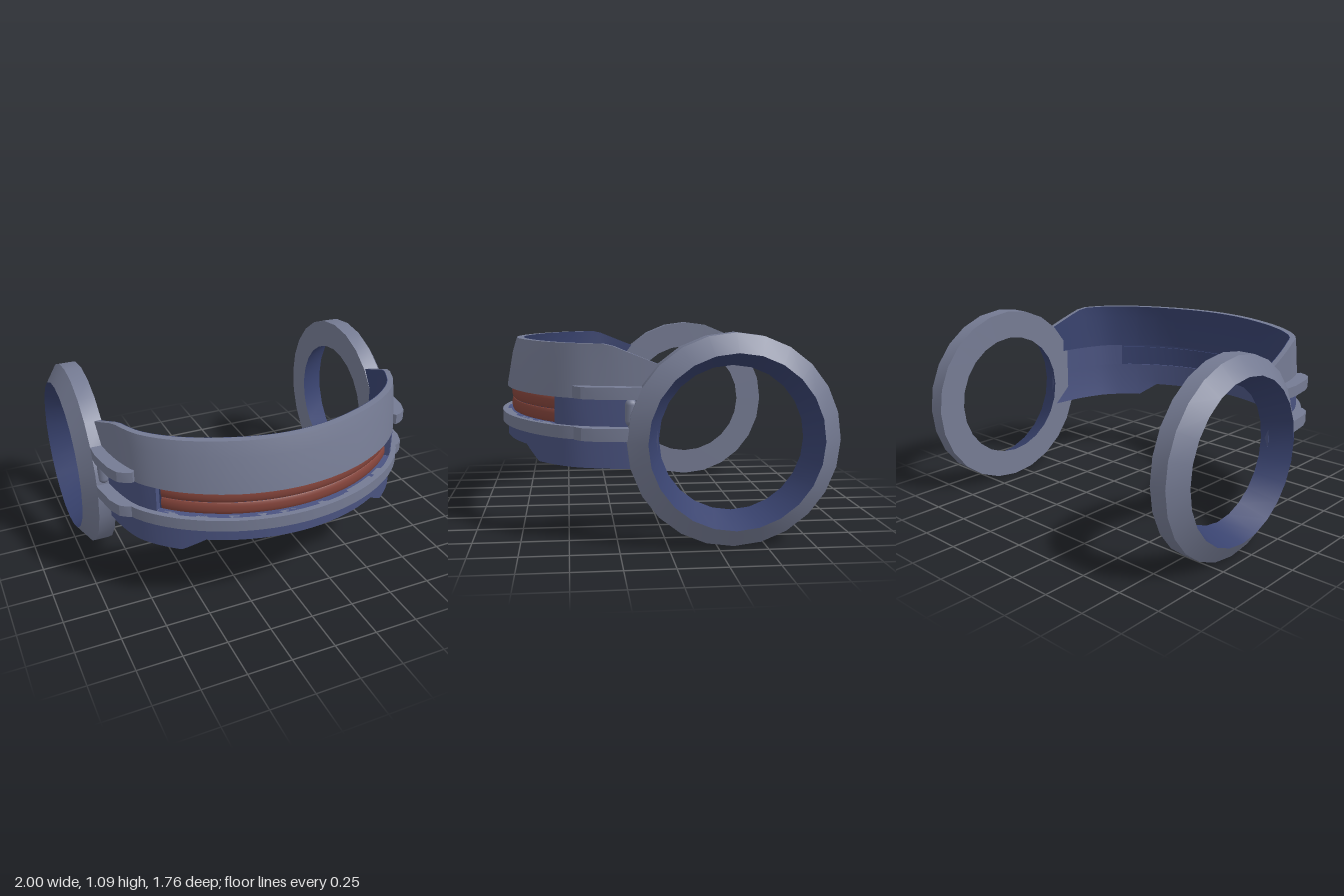
import * as THREE from 'three';
import { toCreasedNormals } from 'three/addons/utils/BufferGeometryUtils.js';

const paint = color => new THREE.MeshStandardMaterial({ color });
const steel = paint(0x757b93), blue = paint(0x4a5380), navy = paint(0x38426e), red = paint(0x84443b);
const { clamp, lerp } = THREE.MathUtils;
const ramp = (v, a, b) => clamp((v - a) / (b - a), 0, 1);

// Plan line of the outer face of the band: an arc that turns back along the sides
const half = [[0.2, 0.83], [0.4, 0.77], [0.6, 0.66], [0.72, 0.555], [0.79, 0.46], [0.835, 0.33], [0.86, 0.2], [0.875, 0.05]];
const plan = new THREE.CatmullRomCurve3([
  ...half.slice().reverse().map(([x, z]) => new THREE.Vector3(-x, 0, z)),
  new THREE.Vector3(0, 0, 0.85),
  ...half.map(([x, z]) => new THREE.Vector3(x, 0, z)),
]);

// Curve parameter at a given x
function uAt(x) {
  let a = 0, b = 1;
  for (let i = 0; i < 30; i++) {
    const m = (a + b) / 2;
    if (plan.getPointAt(m).x < x) a = m; else b = m;
  }
  return (a + b) / 2;
}

// Shared stations along the plan line, so that neighbouring parts meet exactly
const windowX = 0.71, winLow = 0.615, winHigh = 0.755;
const stations = [-windowX, -0.61, -0.5, 0.5, 0.61, windowX].map(uAt);
for (let i = 0; i <= 48; i++) stations.push(i / 48);

// Sweeps a section of [outward offset, y] points along the plan line
function sweep(u0, u1, section) {
  const us = [u0, ...stations.filter(u => u > u0 + 1e-4 && u < u1 - 1e-4).sort((a, b) => a - b), u1];
  const rings = us.map(u => {
    const p = plan.getPointAt(u), t = plan.getTangentAt(u);
    return section(p).map(([o, y]) => [p.x - t.z * o, y, p.z + t.x * o]);
  });
  const pos = [];
  const tri = (a, b, c) => pos.push(...a, ...b, ...c);
  for (let i = 0; i + 1 < rings.length; i++) {
    const A = rings[i], B = rings[i + 1];
    A.forEach((_, j) => {
      const k = (j + 1) % A.length;
      tri(A[j], B[j], A[k]);
      tri(A[k], B[j], B[k]);
    });
  }
  const first = rings[0], last = rings[rings.length - 1];
  for (let j = 1; j + 1 < first.length; j++) {
    tri(first[0], first[j], first[j + 1]);
    tri(last[0], last[j + 1], last[j]);
  }
  const g = new THREE.BufferGeometry();
  g.setAttribute('position', new THREE.Float32BufferAttribute(pos, 3));
  return toCreasedNormals(g, 0.5);
}

const box = (outer, inner, y0, y1) => [[outer, y0], [outer, y1], [inner, y1], [inner, y0]];

// Upright profiles of the band: it leans in at the front and stands straight at the sides
const thickness = p => lerp(0.03, 0.05, ramp(p.z, 0.2, 0.6));
function upperProfile(p) {
  const top = lerp(0.93, 1.03, ramp(p.z, 0.05, 0.3));
  const mid = Math.min(0.95, top - 0.03), l = ramp(p.z, 0.28, 0.78), t = thickness(p);
  return {
    outer: [[0, winHigh], [-0.035 * l, mid], [-0.06 * l, top]],
    inner: [[-0.06 * l - lerp(0.03, 0.04, l), top], [-0.035 * l - lerp(0.03, 0.043, l), mid], [-t, winHigh]],
  };
}

export function createModel() {
  const model = new THREE.Group();
  const add = (name, geometry, material = steel) => {
    const m = new THREE.Mesh(geometry, material);
    m.name = name;
    model.add(m);
    return m;
  };

  // Upper band with its dark lining
  add('upperBand', sweep(0, 1, p => {
    const { outer, inner } = upperProfile(p);
    return [...outer, ...inner];
  }));
  add('upperLining', sweep(0, 1, p => {
    const { inner } = upperProfile(p);
    return [...inner.slice().reverse(), ...inner.map(([o, y]) => [o - 0.003, y])];
  }), navy);

  // Lower band, deeper at the sides
  add('lowerBand', sweep(0, 1, p => {
    const k = ramp(Math.abs(p.x), 0.5, 0.61), t = thickness(p);
    const bottom = lerp(0.475, 0.4, k);
    return [[0, bottom], [0, winLow], [-t, winLow], [-t, 0.5], [-t - 0.01 * k, bottom]];
  }), blue);

  // Solid wall either side of the window
  const wl = uAt(-windowX), wr = uAt(windowX);
  for (const [name, a, b] of [['rightWall', 0, wl], ['leftWall', wr, 1]])
    add(name, sweep(a, b, p => box(0, -thickness(p), winLow, winHigh)), blue);

  // Red strips in the window, with a backing and a raised inner panel
  const end = uAt(0.7);
  add('windowBacking', sweep(wl, wr, () => box(-0.036, -0.041, winLow, winHigh)), navy);
  add('innerPanel', sweep(1 - end, end, () => box(-0.04, -0.05, 0.63, 0.74)), navy);
  for (const [name, y] of [['lowerStrip', 0.65], ['upperStrip', 0.72]]) {
    const section = [];
    for (let i = 0; i <= 8; i++) {
      const a = -Math.PI / 2 + Math.PI * i / 8;
      section.push([-0.037 + 0.012 * Math.cos(a), y + 0.035 * Math.sin(a)]);
    }
    add(name, sweep(1 - end, end, () => section), red);
  }

  // Raised rail below the window
  add('frontRail', sweep(uAt(-0.8), uAt(0.8), () => box(0.03, -0.02, 0.55, winLow)));

  // Ring profile: [radius, distance from the centre plane]
  const profile = pts => pts.map(([r, h]) => new THREE.Vector2(r, h));
  const rim = profile([[0.375, 0.835], [0.5425, 0.835], [0.5425, 0.93], [0.445, 1]]);
  const bore = profile([[0.445, 1], [0.375, 0.835]]);
  const bracket = [[0.78, 0.45], [0.8, 0.475], [0.835, 0.465], [0.875, 0.435], [0.905, 0.365], [0.93, 0.22],
    [0.93, 0.1], [0.86, 0.1], [0.85, 0.2], [0.825, 0.33]];

  for (const [side, s] of [['left', 1], ['right', -1]]) {
    // Side ring and its dark bore
    for (const [name, points, material] of [['Ring', rim, steel], ['RingBore', bore, navy]]) {
      const g = new THREE.LatheGeometry(points, 24);
      g.rotateZ(-s * Math.PI / 2);
      add(side + name, toCreasedNormals(g, 0.4), material).position.set(0, 0.545, -0.335);
    }

    // Two brackets holding the ring
    for (const [name, y0, y1] of [['LowerBracket', 0.55, 0.615], ['UpperBracket', 0.76, 0.82]]) {
      const shape = new THREE.Shape(bracket.map(([x, z]) => new THREE.Vector2(s * x, z)));
      const g = new THREE.ExtrudeGeometry(shape, { depth: y1 - y0, bevelEnabled: false });
      g.rotateX(Math.PI / 2);
      g.translate(0, y1, 0);
      add(side + name, toCreasedNormals(g, 0.5));
    }

    // Rounded pivot between the brackets
    add(side + 'Pivot', new THREE.CapsuleGeometry(0.03, 0.08, 6, 14)).position.set(s * 0.885, 0.69, 0.185);
  }
  return model;
}
